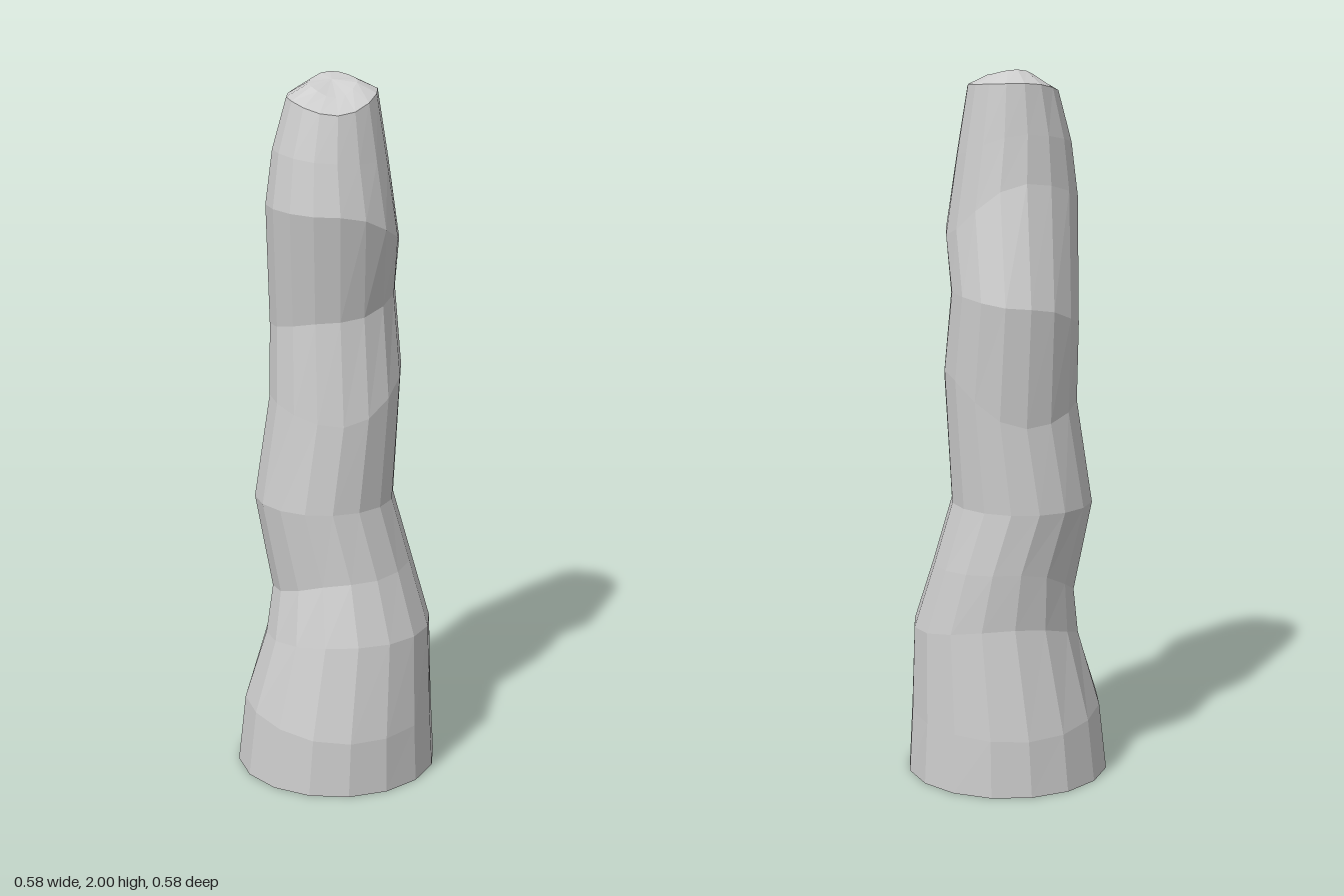
import * as THREE from 'three';

const SIDES = 16;

// Each ring: [x, y] at left-hand and right-hand edge, then [z, y] at front and back edge
const bodyRings = [
  [-0.29, 0, 0.29, 0, 0.29, 0, -0.29, 0],
  [-0.268, 0.2, 0.28, 0.18, 0.285, 0.16, -0.28, 0.16],
  [-0.205, 0.4, 0.272, 0.43, 0.235, 0.43, -0.23, 0.47],
  [-0.182, 0.53, 0.22, 0.62, 0.18, 0.6, -0.24, 0.63],
  [-0.23, 0.8, 0.17, 0.8, 0.16, 0.8, -0.252, 0.8],
  [-0.185, 1.1, 0.19, 1.18, 0.145, 1.05, -0.235, 1.04],
  [-0.18, 1.3, 0.175, 1.4, 0.11, 1.34, -0.262, 1.37],
  [-0.195, 1.65, 0.176, 1.55, 0.166, 1.64, -0.185, 1.7],
  [-0.175, 1.8, 0.145, 1.77, 0.14, 1.78, -0.17, 1.83],
  [-0.135, 1.94, 0.115, 1.96, 0.115, 1.905, -0.155, 1.965],
];
const tipRings = [
  bodyRings[bodyRings.length - 1],
  [-0.075, 1.975, 0.06, 1.985, 0.05, 1.945, -0.085, 2],
  [-0.01, 1.985, -0.01, 1.985, -0.03, 1.985, -0.03, 1.985],
];

// Point on a tilted, off-centre oval ring
function ringPoint([xl, yl, xr, yr, zf, yf, zb, yb], j) {
  const a = (j / SIDES) * Math.PI * 2;
  const c = Math.cos(a), s = Math.sin(a);
  return [
    (xl + xr) / 2 + (c * (xr - xl)) / 2,
    c * c * (c > 0 ? yr : yl) + s * s * (s > 0 ? yf : yb),
    (zf + zb) / 2 + (s * (zf - zb)) / 2,
  ];
}

// Skin a stack of rings with faceted quads
function loft(name, rings, material) {
  const pos = [], index = [];
  rings.forEach((ring, i) => {
    for (let j = 0; j < SIDES; j++) {
      pos.push(...ringPoint(ring, j));
      if (i === rings.length - 1) continue;
      const k = (j + 1) % SIDES;
      const a = i * SIDES + j, b = i * SIDES + k;
      const c = a + SIDES, d = b + SIDES;
      index.push(a, c, b);
      // skip collapsed triangles where the ring closes to a point
      if (rings[i + 1][0] !== rings[i + 1][2]) index.push(b, c, d);
    }
  });
  const indexed = new THREE.BufferGeometry();
  indexed.setAttribute('position', new THREE.Float32BufferAttribute(pos, 3));
  indexed.setIndex(index);
  const geometry = indexed.toNonIndexed();
  geometry.computeVertexNormals();
  const mesh = new THREE.Mesh(geometry, material);
  mesh.name = name;
  return mesh;
}

export function createModel() {
  const group = new THREE.Group();
  group.name = 'rockColumn';
  const material = new THREE.MeshStandardMaterial({
    color: 0xcccccc, flatShading: true, side: THREE.DoubleSide,
  });
  // Crooked tapering column, open underneath
  group.add(loft('column', bodyRings, material));
  // Slanted blunt tip
  group.add(loft('tip', tipRings, material));
  return group;
}
